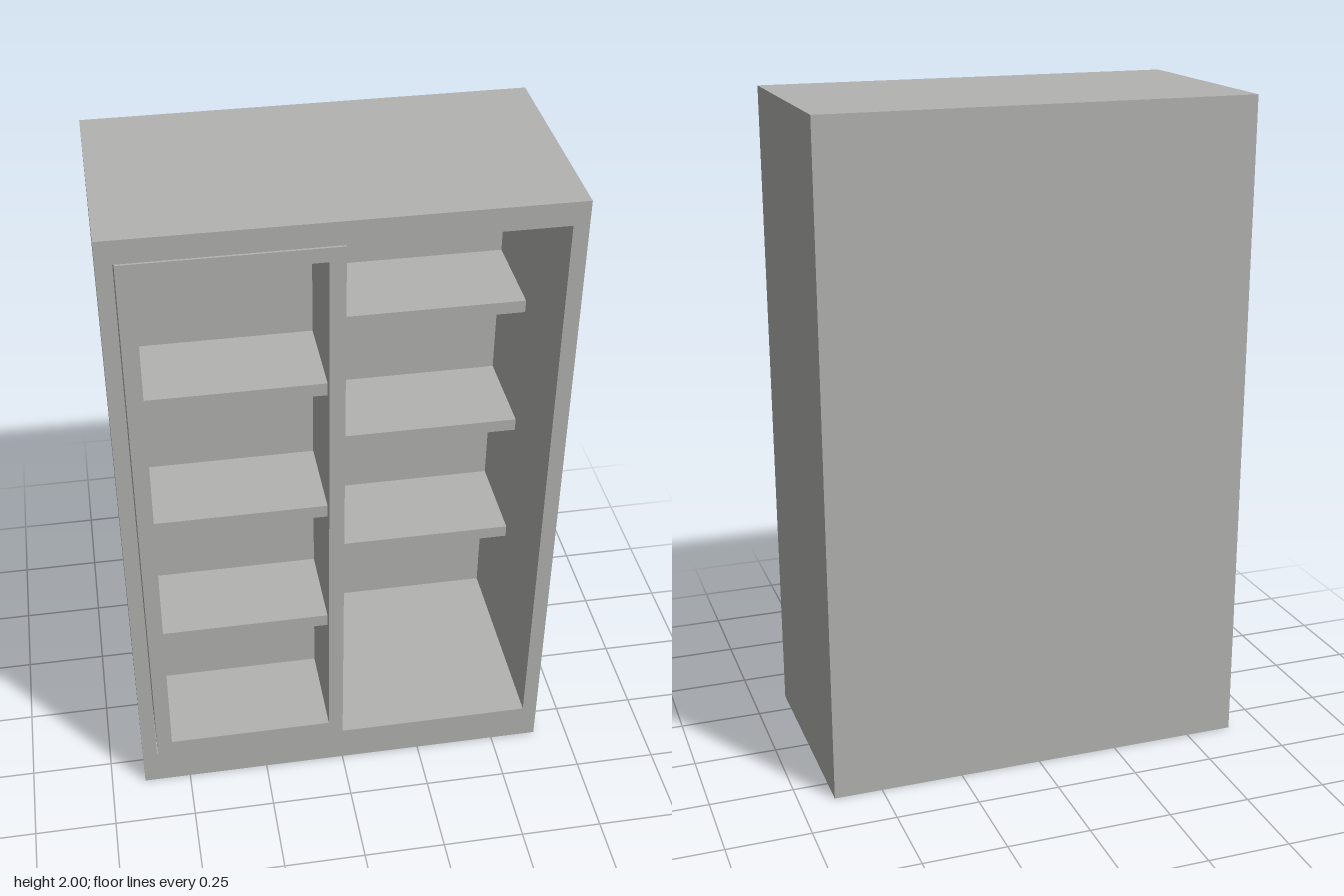
import * as THREE from 'three';

const W = 0.645, D = 0.34, H = 2;          // half width, half depth, height
const IN = 0.6, FLOOR = 0.12, CEIL = 1.93; // case opening
const REAR = -0.01;                        // front plane of the fixed rear shelving
const BACK = -0.305;                       // inner face of the back panel
const SHELVES = [0.59, 1.025, 1.46];       // shelf centre heights
const THICK = 0.04;

// Box given by its minimum and maximum corners
function slab(name, material, [x0, y0, z0], [x1, y1, z1]) {
  const geometry = new THREE.BoxGeometry(x1 - x0, y1 - y0, z1 - z0);
  geometry.translate((x0 + x1) / 2, (y0 + y1) / 2, (z0 + z1) / 2);
  const mesh = new THREE.Mesh(geometry, material);
  mesh.name = name;
  return mesh;
}

// Rectangular frame with an opening, extruded along z
function frame(name, material, outer, inner, z0, z1) {
  const points = ([x0, y0, x1, y1]) => [[x0, y0], [x1, y0], [x1, y1], [x0, y1]]
    .map(([x, y]) => new THREE.Vector2(x, y));
  const shape = new THREE.Shape(points(outer));
  shape.holes.push(new THREE.Path(points(inner)));
  const geometry = new THREE.ExtrudeGeometry(shape, { depth: z1 - z0, bevelEnabled: false });
  geometry.translate(0, 0, z0);
  const mesh = new THREE.Mesh(geometry, material);
  mesh.name = name;
  return mesh;
}

export function createModel() {
  const grey = new THREE.MeshStandardMaterial({ color: 0xb2b2b0 });
  grey.name = 'warm grey';
  const model = new THREE.Group();
  model.name = 'bookcase';

  // Outer case
  const outerCase = new THREE.Group();
  outerCase.name = 'outerCase';
  outerCase.add(
    frame('caseFrame', grey, [-W, 0, W, H], [-IN, FLOOR, IN, CEIL], BACK, D),
    slab('backPanel', grey, [-W, 0, -D], [W, H, BACK])
  );

  // Fixed shelving in the rear half, split by a central divider
  const rearShelving = new THREE.Group();
  rearShelving.name = 'rearShelving';
  rearShelving.add(slab('divider', grey, [-0.022, FLOOR, BACK], [0.022, CEIL, REAR]));
  for (const y of SHELVES) {
    for (const [x0, x1] of [[-IN, -0.022], [0.022, IN]]) {
      rearShelving.add(slab('rearShelf', grey,
        [x0, y - THICK / 2, BACK], [x1, y + THICK / 2, REAR]));
    }
  }

  // Sliding front unit, closed at the back, with recessed shelves
  const slidingUnit = new THREE.Group();
  slidingUnit.name = 'slidingUnit';
  slidingUnit.add(
    frame('slidingFrame', grey, [-0.597, FLOOR, 0, 1.926], [-0.55, 0.165, -0.045, 1.883], 0.045, D),
    slab('slidingBack', grey, [-0.597, FLOOR, 0], [0, 1.926, 0.045])
  );
  for (const y of SHELVES) {
    slidingUnit.add(slab('slidingShelf', grey,
      [-0.55, y - THICK / 2, 0.045], [-0.045, y + THICK / 2, 0.31]));
  }

  model.add(outerCase, rearShelving, slidingUnit);
  return model;
}
